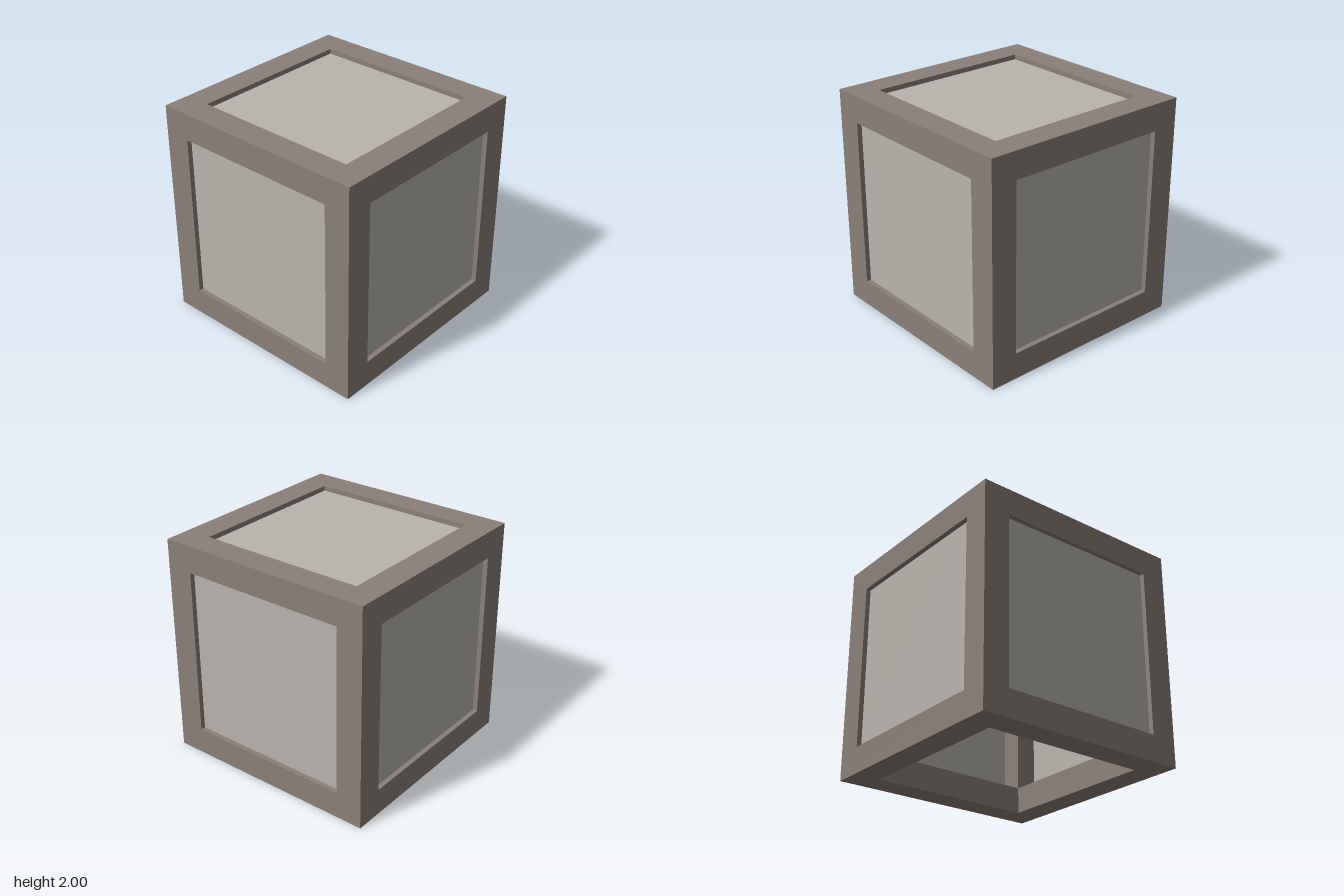
import * as THREE from 'three';
import { mergeGeometries } from 'three/addons/utils/BufferGeometryUtils.js';

const HALF = 1;        // half the cube's side
const OPEN = 0.76;     // half the opening in each side
const BEAM = HALF - OPEN;
const PANEL = 0.956;   // panel distance from the centre

// One side of the beam frame, facing +z: a flat ring plus the four walls of its opening
function frameSide() {
  const square = (s) => [[-s, -s], [s, -s], [s, s], [-s, s]].map(([x, y]) => new THREE.Vector2(x, y));
  const ring = new THREE.Shape(square(HALF));
  ring.holes.push(new THREE.Path(square(OPEN).reverse()));
  const parts = [new THREE.ShapeGeometry(ring).translate(0, 0, HALF)];
  for (let i = 0; i < 4; i++) {
    parts.push(new THREE.PlaneGeometry(2 * OPEN, BEAM)
      .rotateX(-Math.PI / 2)
      .translate(0, -OPEN, OPEN + BEAM / 2)
      .rotateZ(i * Math.PI / 2));
  }
  return mergeGeometries(parts);
}

export function createModel() {
  const frameMat = new THREE.MeshStandardMaterial({ color: 0x8b8078 });
  frameMat.name = 'taupe frame';
  const panelMat = new THREE.MeshStandardMaterial({ color: 0xb9b4ad, side: THREE.DoubleSide });
  panelMat.name = 'pale grey panel';

  const model = new THREE.Group();
  model.name = 'panelledCube';

  // Rotations that turn +z to each side of the cube
  const q = Math.PI / 2;
  const sides = {
    front: [0, 0], left: [0, q], back: [0, 2 * q], right: [0, -q], top: [-q, 0], bottom: [q, 0],
  };

  for (const [name, [rx, ry]] of Object.entries(sides)) {
    const side = new THREE.Group();
    side.name = `${name}Side`;
    side.rotation.set(rx, ry, 0);
    side.position.y = HALF;

    const frame = new THREE.Mesh(frameSide(), frameMat);
    frame.name = `${name}Frame`;
    side.add(frame);

    // Recessed panel; the underside stays open
    if (name !== 'bottom') {
      const panel = new THREE.Mesh(new THREE.PlaneGeometry(2 * OPEN, 2 * OPEN), panelMat);
      panel.name = `${name}Panel`;
      panel.position.z = PANEL;
      side.add(panel);
    }
    model.add(side);
  }
  return model;
}
